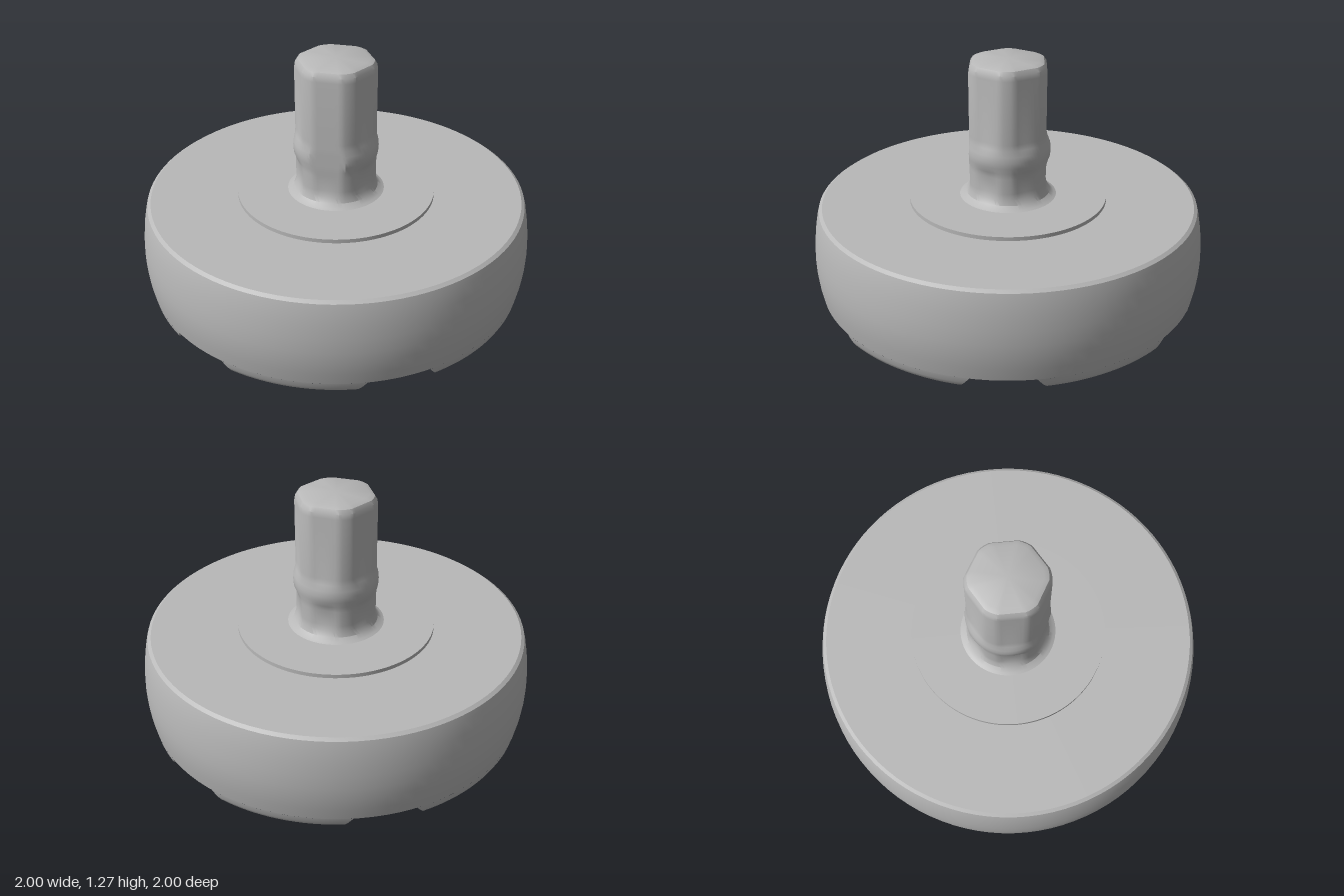
import * as THREE from 'three';
import { toCreasedNormals } from 'three/addons/utils/BufferGeometryUtils.js';

const GROOVE = 0.075;                       // groove depth
const BEVEL = 0.06;                         // sideways run of the sloping groove walls
const HALF = THREE.MathUtils.degToRad(21);  // half angle of a pad at the groove roof

const lathe = (pts, segments) =>
  new THREE.LatheGeometry(pts.map(([r, y]) => new THREE.Vector2(r, y)), segments);

// One wedge-shaped pad, stacked from cross-sections between two grooves
function padGeometry() {
  const profile = [[0.91, 0], [0.94, 0.008], [0.96, 0.025], [0.97, 0.045], [0.977, GROOVE]];
  const n = 16;
  const positions = [], index = [];
  for (const [r, y] of profile) {
    const inset = BEVEL * (1 - y / GROOVE);
    positions.push(inset / Math.sin(HALF), y, 0);
    const half = HALF - Math.asin(inset / r);
    for (let i = 0; i <= n; i++) {
      const t = half * (2 * i / n - 1);
      positions.push(r * Math.cos(t), y, r * Math.sin(t));
    }
  }
  const ring = n + 2;
  for (let k = 0; k < profile.length - 1; k++) {
    for (let i = 0; i < ring; i++) {
      const a = k * ring + i, b = k * ring + (i + 1) % ring;
      index.push(a, a + ring, b, b, a + ring, b + ring);
    }
  }
  for (let i = 1; i <= n; i++) index.push(0, i, i + 1);
  const g = new THREE.BufferGeometry();
  g.setAttribute('position', new THREE.Float32BufferAttribute(positions, 3));
  g.setIndex(index);
  return toCreasedNormals(g, 0.5);
}

// Radius of a hexagon with rounded corners, flats facing +z and -z
function hexRadius(phi) {
  const step = Math.PI / 3;
  const off = phi - Math.round(phi / step) * step;
  return Math.min(0.205, 0.192 / Math.cos(off));
}

// Lathe whose rings blend from hexagon (0) to circle (1)
function shankGeometry() {
  // radius, height, roundness
  const rows = [
    [0.26, 0.545, 1], [0.235, 0.555, 1], [0.215, 0.572, 1], [0.203, 0.60, 0.6], [0.2, 0.63, 0],
    [0.2, 0.71, 0], [0.205, 0.74, 0.6], [0.214, 0.77, 1], [0.216, 0.80, 1], [0.213, 0.83, 1],
    [0.204, 0.86, 0.6], [0.2, 0.89, 0], [0.2, 1.215, 0], [0.196, 1.24, 0], [0.184, 1.26, 0],
    [0.16, 1.27, 0], [0, 1.27, 0],
  ];
  const g = lathe(rows, 72);
  const p = g.attributes.position;
  for (let i = 0; i < p.count; i++) {
    const [r, y, round] = rows[i % rows.length];
    const phi = Math.atan2(p.getX(i), p.getZ(i));
    const radius = THREE.MathUtils.lerp(hexRadius(phi) * r / 0.2, r, round);
    // the front flat runs straight through the bulge
    const z = radius * Math.cos(phi);
    p.setXYZ(i, radius * Math.sin(phi), y, y > 0.7 ? Math.min(z, 0.194) : z);
  }
  return toCreasedNormals(g, 0.45);
}

export function createModel() {
  const model = new THREE.Group();
  model.name = 'groovedDiscWithShank';
  const metal = new THREE.MeshStandardMaterial({ color: 0xb8b8b8 });
  metal.name = 'grey metal';

  const add = (name, geometry, parent = model) => {
    const mesh = new THREE.Mesh(geometry, metal);
    mesh.name = name;
    parent.add(mesh);
    return mesh;
  };

  // Bulging disc; its underside is the roof of the grooves
  add('disc', toCreasedNormals(lathe([
    [0, GROOVE], [0.977, GROOVE], [0.99, 0.14], [0.998, 0.21], [1, 0.27], [0.997, 0.34],
    [0.988, 0.42], [0.975, 0.49], [0.967, 0.518], [0.95, 0.53], [0, 0.53],
  ], 96), 0.6));

  // Six pads leave six radial grooves between them
  const pads = new THREE.Group();
  pads.name = 'bottomPads';
  model.add(pads);
  const pad = padGeometry();
  for (let i = 0; i < 6; i++) {
    add('pad', pad, pads).rotation.y = Math.PI / 6 + i * Math.PI / 3;
  }

  // Thin collar around the shank
  add('collar', toCreasedNormals(lathe([[0.505, 0.525], [0.505, 0.55], [0, 0.55]], 96), 0.6));

  add('hexShank', shankGeometry());
  return model;
}
